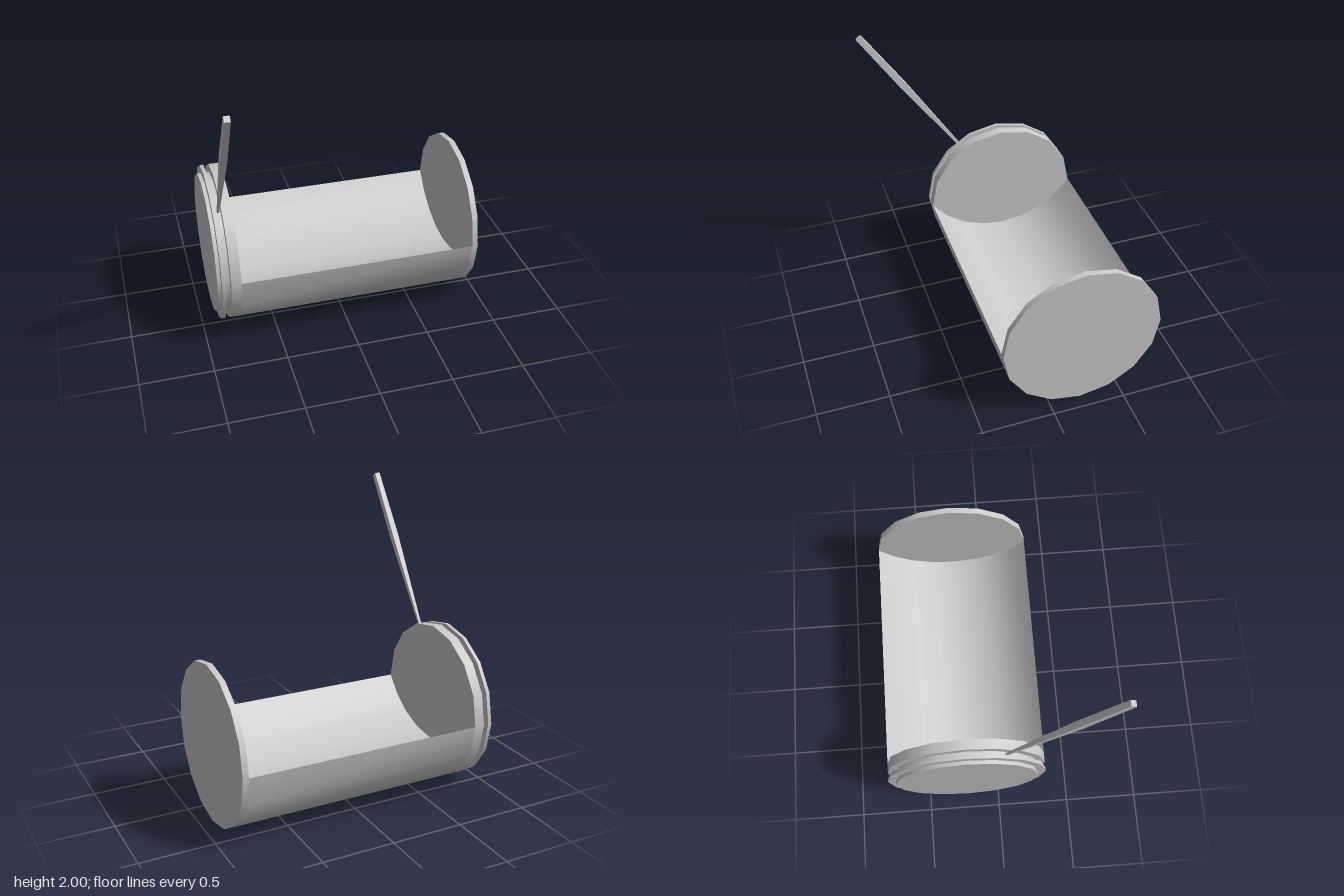
import * as THREE from 'three';
import { toCreasedNormals } from 'three/addons/utils/BufferGeometryUtils.js';

const R = 0.545, CY = 0.545, CZ = -0.219, SIDES = 16;

export function createModel() {
  const group = new THREE.Group();
  const grey = new THREE.MeshStandardMaterial({ color: 0xcccccc });
  const add = (name, geometry) => {
    const mesh = new THREE.Mesh(geometry, grey);
    mesh.name = name;
    group.add(mesh);
    return mesh;
  };

  // Disc lying along x between x0 and x1
  const disc = (name, x0, x1, r) => {
    const g = new THREE.CylinderGeometry(r, r, x1 - x0, SIDES).rotateZ(Math.PI / 2);
    add(name, g).position.set((x0 + x1) / 2, CY, CZ);
  };
  disc('outerHub', -0.91, -0.885, 0.49);
  disc('crankDisc', -0.885, -0.86, R);
  disc('grooveHub', -0.86, -0.825, 0.49);
  disc('innerEndCap', -0.825, -0.756, R);
  disc('farEndCap', 0.87, 0.91, R);

  // Trough between the end caps: half-round outside, shallower curved floor inside
  const sag = 0.29;
  const floorR = (R * R + sag * sag) / (2 * sag);
  const floorY = floorR - sag;
  const a = Math.atan2(floorY, R);
  const section = new THREE.Shape();
  section.absarc(0, 0, R, Math.PI, 2 * Math.PI, false);
  section.absarc(0, floorY, floorR, -a, a - Math.PI, true);
  const trough = new THREE.ExtrudeGeometry(section, {
    depth: 1.626, curveSegments: SIDES / 4, bevelEnabled: false,
  }).rotateY(Math.PI / 2);
  add('trough', toCreasedNormals(trough, 0.7)).position.set(-0.756, CY, CZ);

  // Slanted handle, tapering to a narrow foot in the groove
  const foot = new THREE.Vector3(-0.843, 0.952, 0.05);
  const tip = new THREE.Vector3(-0.843, 1.988, 0.747);
  const length = foot.distanceTo(tip);
  const bar = new THREE.BoxGeometry(1, length, 1, 1, 5, 1);
  const p = bar.attributes.position;
  for (let i = 0; i < p.count; i++) {
    const t = p.getY(i) / length + 0.5;
    const w = t < 0.6 ? 0.014 + 0.03 * t / 0.6 : 0.044 - 0.006 * (t - 0.6) / 0.4;
    p.setX(i, p.getX(i) * w);
    p.setZ(i, p.getZ(i) * w * 1.08);
  }
  bar.computeVertexNormals();
  const handle = add('handle', bar);
  handle.position.copy(foot).lerp(tip, 0.5);
  handle.rotation.x = Math.atan2(tip.z - foot.z, tip.y - foot.y);

  return group;
}
